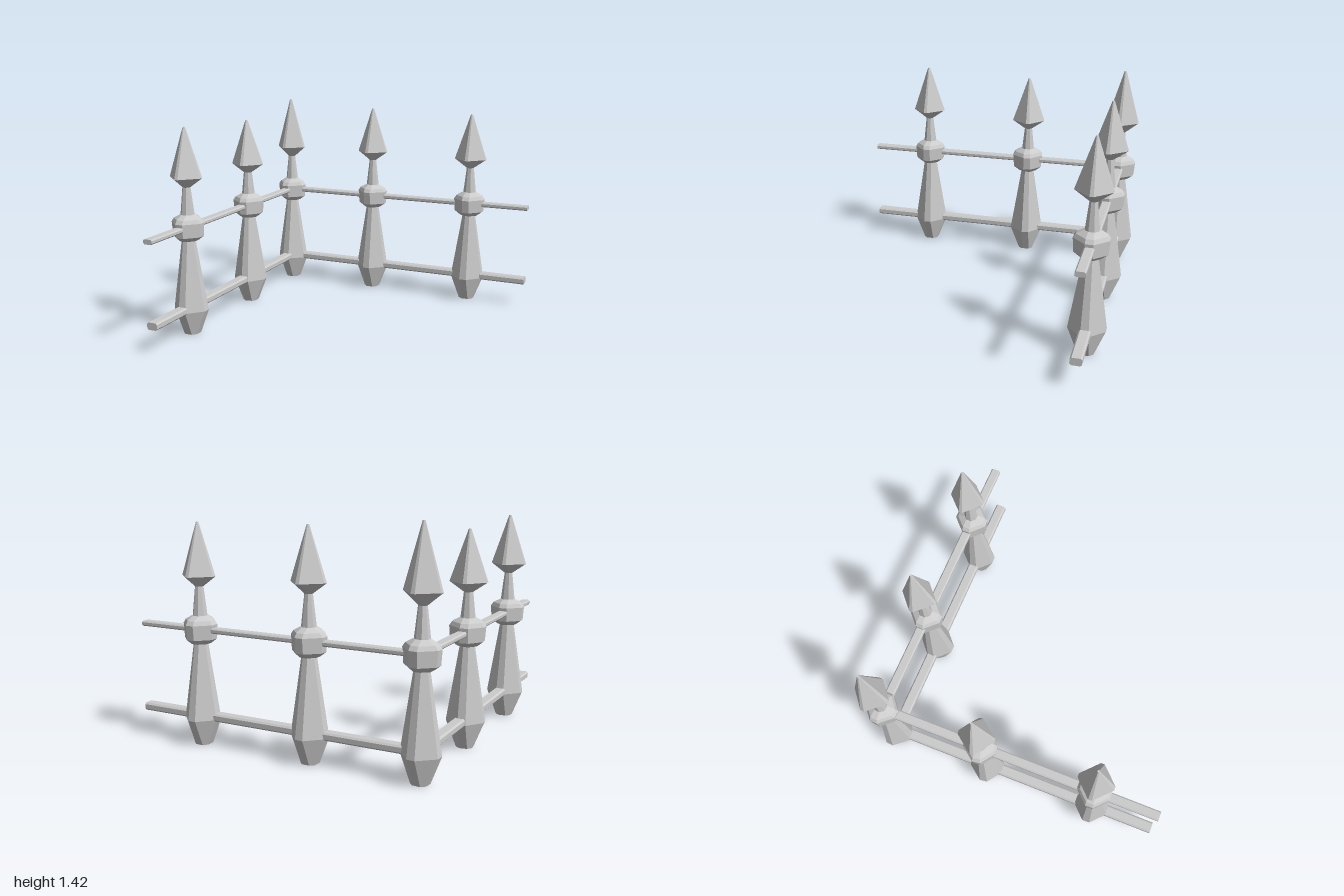
import * as THREE from 'three';

const material = new THREE.MeshStandardMaterial({ color: 0xcccccc, flatShading: true });

// Diamond section with blunted corners: r = reach along x and z, c = half width of the blunt corner
function section([y, r, c]) {
  return [[r, -c], [r, c], [c, r], [-c, r], [-r, c], [-r, -c], [-c, -r], [c, -r]]
    .map(([x, z]) => new THREE.Vector3(x, y, z));
}

// Closed solid through a stack of sections, listed from bottom to top
function loft(levels) {
  const rings = levels.map(section);
  const points = [];
  const n = 8;
  const last = rings.length - 1;
  const bottom = new THREE.Vector3(0, levels[0][0], 0);
  const top = new THREE.Vector3(0, levels[last][0], 0);
  for (let j = 0; j < n; j++) {
    const k = (j + 1) % n;
    for (let i = 0; i < last; i++) {
      const a = rings[i][j], b = rings[i][k], c = rings[i + 1][k], d = rings[i + 1][j];
      points.push(a, d, b, b, d, c);
    }
    points.push(bottom, rings[0][j], rings[0][k], top, rings[last][k], rings[last][j]);
  }
  const geometry = new THREE.BufferGeometry().setFromPoints(points);
  geometry.computeVertexNormals();
  return geometry;
}

function addMesh(parent, name, geometry) {
  const mesh = new THREE.Mesh(geometry, material);
  mesh.name = name;
  parent.add(mesh);
  return mesh;
}

// Levels are [height, reach, corner half width]
const shapes = {
  base: loft([[0, 0.05, 0.025], [0.165, 0.116, 0.025], [0.66, 0.038, 0.015]]),
  collar: loft([[0.63, 0.06, 0.02], [0.66, 0.1, 0.025], [0.75, 0.107, 0.025], [0.775, 0.09, 0.024], [0.8, 0.045, 0.018]]),
  neck: loft([[0.78, 0.044, 0.018], [0.99, 0.022, 0.01]]),
  spearhead: loft([[0.975, 0.022, 0.01], [1.04, 0.114, 0.012], [1.36, 0.007, 0.003]]),
};

// x, z, turn in degrees, spearhead lift, spearhead stretch
const posts = [
  [-0.88, -0.88, -5, 0, 1.15],
  [-0.19, -0.88, -3, 0.012, 1],
  [0.57, -0.88, 0, 0, 1],
  [-0.88, -0.195, 8, -0.025, 0.975],
  [-0.88, 0.572, 1, 0, 1],
];

// Rail with a bevelled section, running along +z from 0
function railGeometry(width, height, bevel, length) {
  const w = width / 2, h = height / 2, b = bevel;
  const outline = [[w, -h + b], [w, h - b], [w - b, h], [-w + b, h], [-w, h - b], [-w, -h + b], [-w + b, -h], [w - b, -h]];
  const shape = new THREE.Shape(outline.map(([x, y]) => new THREE.Vector2(x, y)));
  return new THREE.ExtrudeGeometry(shape, { depth: length, bevelEnabled: false });
}

export function createModel() {
  const model = new THREE.Group();
  model.name = 'cornerFence';

  posts.forEach(([x, z, turn, lift, stretch]) => {
    const post = new THREE.Group();
    post.name = 'post';
    post.position.set(x, 0, z);
    post.rotation.y = THREE.MathUtils.degToRad(turn);
    for (const part of Object.keys(shapes)) {
      const mesh = addMesh(post, part, shapes[part]);
      if (part === 'spearhead') {
        // stretch about the bottom of the spearhead
        mesh.scale.y = stretch;
        mesh.position.y = 0.975 * (1 - stretch) + lift;
      }
    }
    model.add(post);
  });

  // Two rails on each side of the corner
  const rails = [
    ['lowerRail', 0.18, railGeometry(0.072, 0.048, 0.01, 1.88)],
    ['upperRail', 0.715, railGeometry(0.062, 0.032, 0.008, 1.88)],
  ];
  for (const [name, y, geometry] of rails) {
    for (const angle of [0, Math.PI / 2]) {
      const rail = addMesh(model, name, geometry);
      rail.position.set(-0.88, y, -0.88);
      rail.rotation.y = angle;
    }
  }
  return model;
}
